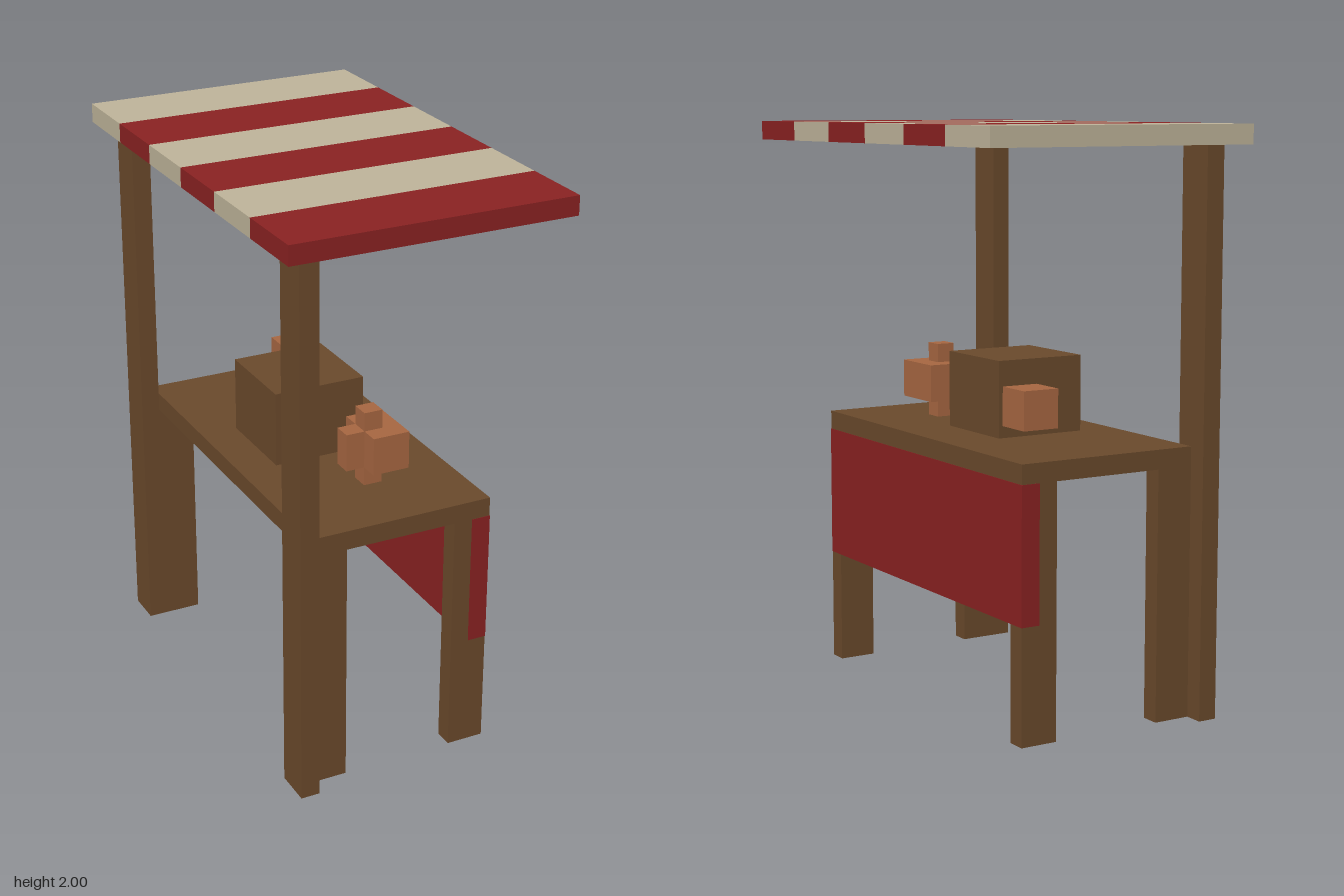
import * as THREE from 'three';

const U = 1 / 15; // the stall is laid out on a grid of this step

function makeMaterial(name, color) {
  const m = new THREE.MeshStandardMaterial({ color });
  m.name = name;
  return m;
}

export function createModel() {
  const wood = makeMaterial('brown wood', 0x6b4a2c);
  const red = makeMaterial('red cloth', 0x8b2222);
  const cream = makeMaterial('cream cloth', 0xc0b59b);
  const clay = makeMaterial('orange clay', 0xa96842);

  const stall = new THREE.Group();
  stall.name = 'marketStall';

  // Box given by its minimum and maximum corners, in grid steps
  function block(name, material, min, max, parent = stall) {
    const size = max.map((v, i) => (v - min[i]) * U);
    const mesh = new THREE.Mesh(new THREE.BoxGeometry(...size), material);
    mesh.position.set(...max.map((v, i) => ((v + min[i]) / 2) * U));
    mesh.name = name;
    parent.add(mesh);
    return mesh;
  }

  // Striped canopy
  const canopy = new THREE.Group();
  canopy.name = 'canopy';
  stall.add(canopy);
  for (let i = 0; i < 6; i++) {
    const z = 12 - 4 * i;
    block('canopyStripe', i % 2 ? cream : red, [-7.5, 29, z - 4], [7.5, 30, z], canopy);
  }

  // Table top
  block('tableTop', wood, [-5.5, 13, -10], [4.5, 14, 10]);

  // Canopy poles and table legs, mirrored across z
  for (const [side, a, b, c] of [['left', 9, 10, 11], ['right', -10, -9, -9]]) {
    const poleMin = side === 'left' ? a : -11;
    const poleMax = side === 'left' ? c : b;
    block(side + 'Pole', wood, [-6.5, 0, poleMin], [-5.5, 29, poleMax]);
    block(side + 'BackLeg', wood, [-5.5, 0, a], [-3.5, 13, b]);
    block(side + 'FrontLeg', wood, [2.5, 0, a], [4.5, 13, b]);
  }

  // Cloth hanging over the counter side, a hair proud of the legs
  block('counterCloth', red, [3.5, 6, -10.02], [4.52, 13, 10.02]);

  // Goods on the counter
  block('crate', wood, [-3.5, 14, -3], [1.5, 18, 2]);
  block('smallPot', clay, [0.5, 15, -7], [2.5, 17, -5]);

  const jug = new THREE.Group();
  jug.name = 'jug';
  stall.add(jug);
  block('jugBody', clay, [-0.5, 15, 4], [1.5, 17, 7], jug);
  block('jugHandle', clay, [-1.5, 15, 5], [-0.5, 17, 6], jug);
  block('jugNeck', clay, [-0.5, 17, 5], [0.5, 18, 6], jug);
  block('jugFoot', clay, [-0.5, 14, 5], [0.5, 15, 6], jug);

  return stall;
}
